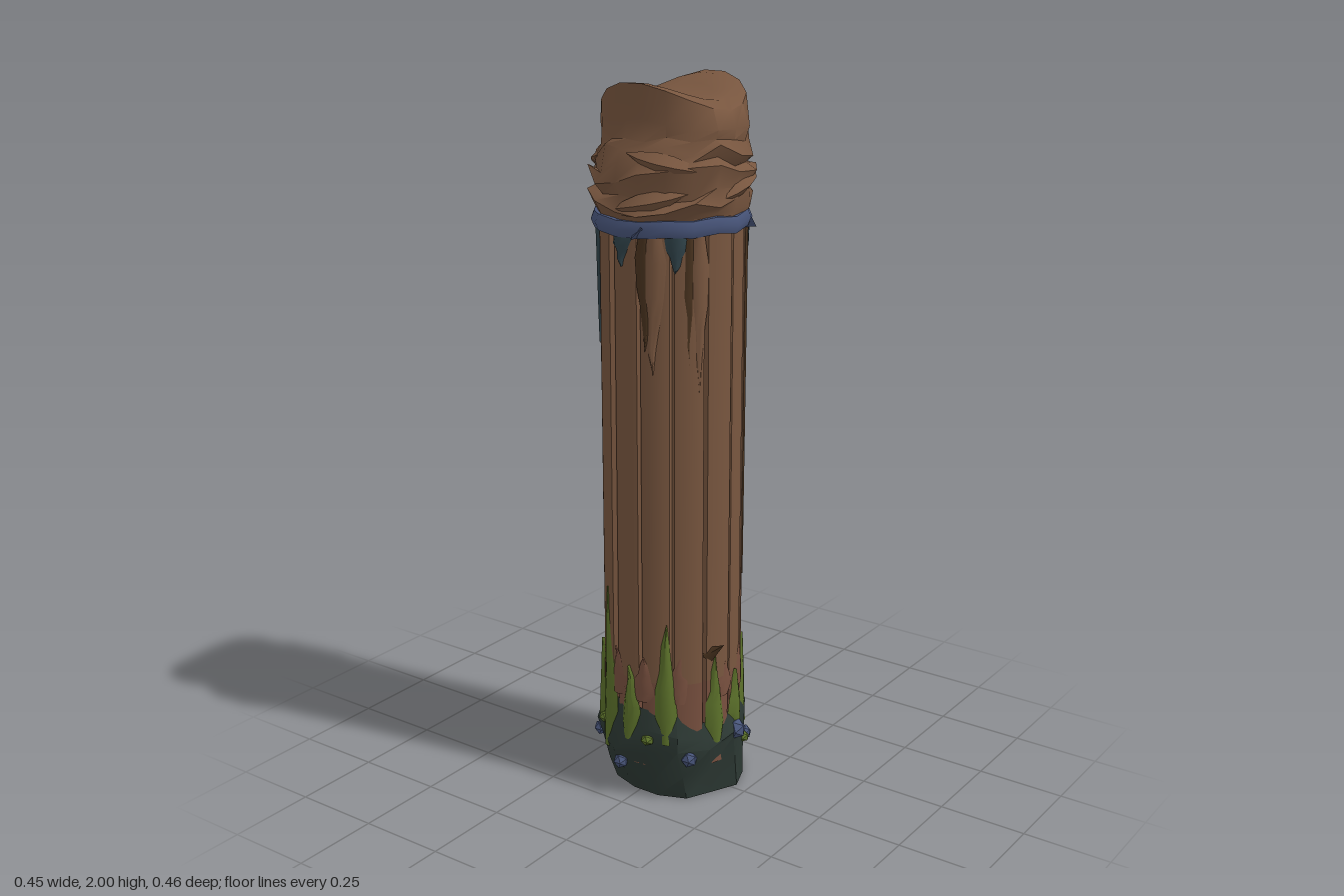
import * as THREE from 'three';
import { toCreasedNormals } from 'three/addons/utils/BufferGeometryUtils.js';

const TAU = Math.PI * 2;
const mat = (name, color) => Object.assign(new THREE.MeshStandardMaterial({ color, side: THREE.DoubleSide }), { name });

// Repeatable pseudo-random value in -1..1
const hash = (i, j = 0) => {
  const s = Math.sin(i * 12.9898 + j * 78.233) * 43758.5453;
  return (s - Math.floor(s)) * 2 - 1;
};

// Surface from a grid of points; rows run upwards, columns run round the post
function grid(rows, cols, point, crease) {
  const pos = [], idx = [];
  for (let j = 0; j < rows; j++)
    for (let i = 0; i < cols; i++) pos.push(...point(i, j));
  for (let j = 0; j < rows - 1; j++)
    for (let i = 0; i < cols - 1; i++) {
      const a = j * cols + i, b = a + 1, c = a + cols, d = c + 1;
      idx.push(a, b, d, a, d, c);
    }
  const g = new THREE.BufferGeometry();
  g.setAttribute('position', new THREE.Float32BufferAttribute(pos, 3));
  g.setIndex(idx);
  return toCreasedNormals(g, crease);
}

const polar = (a, r, y) => [Math.sin(a) * r, y, Math.cos(a) * r];

export function createModel() {
  const group = new THREE.Group();
  const wood = mat('wood', 0x78563f);
  const redWood = mat('dampWood', 0x78503f);
  const darkWood = mat('darkWood', 0x49331f);
  const moss = mat('moss', 0x5b702a);
  const rock = mat('darkAlgae', 0x2c3833);
  const band = mat('bandBlue', 0x48557a);
  const teal = mat('tealStain', 0x30434a);

  const add = (name, geometry, material) => {
    const m = new THREE.Mesh(geometry, material);
    m.name = name;
    group.add(m);
    return m;
  };

  // Post shaft: planks separated by narrow grooves
  const PLANKS = 13;
  const steps = [0, 0.07, 0.3, 0.55, 0.75, 0.93];
  const cols = PLANKS * steps.length + 1;
  const shaft = (ys) => grid(ys.length, cols, (i, j) => {
    const k = i % (cols - 1), p = Math.floor(k / 6), s = k % 6;
    const a = ((p + steps[s]) / PLANKS) * TAU;
    const r = s === 0 ? 0.178 : 0.195 + 0.005 * hash(p, 3) - (s === 1 || s === 5 ? 0.003 : 0);
    return polar(a, r, ys[j]);
  }, 0.7);
  add('shaft', shaft([0.36, 0.8, 1.2, 1.66]), wood);
  add('dampShaft', shaft([0.1, 0.36]), redWood);

  // Tapering patch hugging the shaft, with its tip at yTip
  const profile = [[0, 0.6], [0.2, 1], [0.45, 0.85], [0.6, 0.55], [0.82, 0.35], [1, 0.02]];
  function patch(name, angle, half, yBase, yTip, lift, material) {
    const up = yTip > yBase ? 1 : -1;
    add(name, grid(profile.length, 5, (i, j) => {
      const [t, w] = profile[j];
      const u = ((i - 2) / 2) * up;
      const wobble = 0.15 * hash(j, angle) * half;
      const a = angle + (u * w * half + wobble) / 0.2;
      const r = 0.193 + (1 - u * u) * lift * (1 - t * 0.5);
      return polar(a, r, yBase + (yTip - yBase) * t);
    }, 1), material);
  }

  // Moss tongues: angle in degrees from the front, half width, base, tip
  const tongues = [
    [-60, 0.035, 0.18, 0.54], [-18, 0.035, 0.17, 0.43], [9, 0.035, 0.2, 0.36], [44, 0.04, 0.14, 0.42],
    [66, 0.03, 0.17, 0.44], [88, 0.034, 0.16, 0.44], [120, 0.045, 0.14, 0.56], [146, 0.035, 0.18, 0.42],
    [164, 0.03, 0.17, 0.4], [190, 0.035, 0.18, 0.36], [218, 0.034, 0.18, 0.42], [240, 0.04, 0.12, 0.61],
    [268, 0.035, 0.18, 0.4],
  ];
  for (const [deg, w, y0, y1] of tongues) {
    const a = (deg / 360) * TAU;
    patch('mossTongue', a, w, y0, y1, 0.02, moss);
    patch('dampStreak', a + 0.2, 0.035, 0.3, 0.42 + 0.06 * hash(deg), 0.007, redWood);
  }

  // Splinters and dark splits hanging down the shaft
  for (const [deg, w, y1] of [[99, 0.045, 1.08], [-35, 0.03, 1.2], [205, 0.03, 1.15], [290, 0.035, 1.25]]) {
    const a = (deg / 360) * TAU;
    patch('darkSplit', a - 0.12, w * 0.8, 1.62, y1 + 0.06, 0.008, darkWood);
    patch('splinter', a, w, 1.62, y1, 0.012, wood);
  }
  patch('longCrack', 0.56, 0.006, 1.62, 0.62, 0.007, darkWood);

  // Chipped spike low on the front
  const chip = add('chip', new THREE.ConeGeometry(0.022, 0.07, 4), darkWood);
  chip.position.set(-0.07, 0.455, 0.195);
  chip.rotation.x = 0.9;

  // Stains under the band
  for (const [deg, w, y1] of [[-52, 0.035, 1.52], [40, 0.035, 1.52], [92, 0.04, 1.53], [72, 0.025, 1.56],
    [140, 0.03, 1.53], [185, 0.03, 1.54], [225, 0.014, 1.3], [262, 0.035, 1.53]])
    patch('stain', (deg / 360) * TAU, w, 1.63, y1, 0.014, teal);

  // Band: uneven blue ring
  add('band', grid(7, 19, (i, j) => {
    const k = i % 18, a = (k / 18) * TAU, t = (j / 6) * TAU - Math.PI;
    return polar(a, 0.199 + 0.006 * hash(k, 5) + 0.018 * Math.cos(t), 1.635 + 0.007 * hash(k, 8) + 0.025 * Math.sin(t));
  }, 1), band);
  for (const deg of [-80, 30, 100, 200]) {
    const knot = add('bandKnot', new THREE.TetrahedronGeometry(0.028), band);
    knot.position.set(...polar((deg / 360) * TAU, 0.2, 1.625));
    knot.rotation.y = deg;
  }

  // Head: folded wrap below, saddle-shaped top with a shallow dip
  // rows: height, radius, radial jitter, height jitter
  const folds = [[1.63, 0.185, 0, 0], [1.665, 0.203, 0.012, 0.01], [1.695, 0.216, 0.012, 0.014], [1.715, 0.198, 0.005, 0.014],
    [1.765, 0.219, 0.011, 0.02], [1.79, 0.2, 0.005, 0.02], [1.825, 0.211, 0.008, 0.02], [1.85, 0.197, 0.004, 0.015], [1.9, 0.2, 0.006, 0.01]];
  const caps = [[1, 0], [0.8, 0.005], [0.55, 0.03], [0.28, 0.045], [0, 0.05]];
  const N = 18;
  add('head', grid(folds.length + caps.length, N + 1, (i, j) => {
    const k = i % N, a = (k / N) * TAU, s = Math.sin(a), c = Math.cos(a);
    if (j < folds.length) {
      const [y, r, jr, jy] = folds[j];
      const scoop = y > 1.8 && s < 0 ? 0.03 * s * s : 0;
      const tilt = j > 1 && j < 8 ? 0.014 * Math.sin(2 * a + j * 0.6) : 0;
      const drop = j === 8 ? 0.025 * c * c : 0;
      return polar(a, r + jr * hash(k, j) - scoop, y + jy * hash(k, j + 20) + tilt - drop);
    }
    const [f, dip] = caps[j - folds.length];
    const rim = 0.195 - 0.012 * c * c - (s < 0 ? 0.012 * s * s : 0) + 0.004 * hash(k, 40);
    const z = c * f;
    const y = 2 - (c > 0 ? 0.075 : 0.095) * z * z - dip * (1 - 0.2 * f);
    return polar(a, rim * f, y);
  }, 0.75), wood);

  // Loose flaps on the wrap
  for (const [deg, y, tip] of [[-75, 1.7, 0.2], [15, 1.74, 0.3], [80, 1.76, -0.3], [195, 1.77, 0.25], [300, 1.8, -0.2]]) {
    const a = (deg / 360) * TAU;
    add('wrapFold', grid(3, 6, (i, j) => {
      const t = i / 5, bulge = Math.sin(t * Math.PI);
      return polar(a + (t - 0.5) * 1.1, 0.2 + (j === 1 ? 0.026 : 0) * bulge,
        y + (t - 0.5) * tip * 0.25 + (j - 1) * 0.028 * bulge);
    }, 0.7), wood);
  }

  // Small knot hole at the back of the head
  const hole = add('knotHole', new THREE.SphereGeometry(0.022, 8, 6), teal);
  hole.position.set(0.075, 1.87, -0.18);
  hole.scale.z = 0.6;

  // Base: jagged, algae-covered foot
  const foot = [[0, 0], [0, 0.185], [0.06, 0.195], [0.15, 0.212], [0.2, 0.211], [0.255, 0.19]];
  const M = 14;
  add('foot', grid(foot.length, M + 1, (i, j) => {
    const k = i % M, [y, r] = foot[j], low = 1 - Math.min(1, y / 0.15);
    const rr = r && r + (j === 5 ? 0.004 : 0.013) * hash(k, j < 3 ? 50 : 51 + j);
    const p = polar((k / M) * TAU, rr, j < 2 ? 0 : y + (j === 5 ? 0.035 : 0.02) * hash(k, 60 + j));
    return [p[0] + 0.02 * low, p[1], p[2] + 0.02 * low];
  }, 0.7), rock);

  // Pebbles and moss tufts stuck on the foot
  for (const [deg, y, s] of [[-42, 0.135, 0.024], [5, 0.18, 0.03], [38, 0.11, 0.022], [88, 0.13, 0.024], [-100, 0.1, 0.022], [215, 0.13, 0.022]])
    add('pebble', new THREE.IcosahedronGeometry(s, 0), band).position.set(...polar((deg / 360) * TAU, 0.208, y));
  for (const [deg, y] of [[25, 0.12], [115, 0.2], [150, 0.19], [175, 0.2], [235, 0.2], [285, 0.19]]) {
    const tuft = add('mossTuft', new THREE.IcosahedronGeometry(0.02, 0), moss);
    tuft.position.set(...polar((deg / 360) * TAU, 0.205, y));
    tuft.scale.y = 0.8;
  }
  return group;
}
